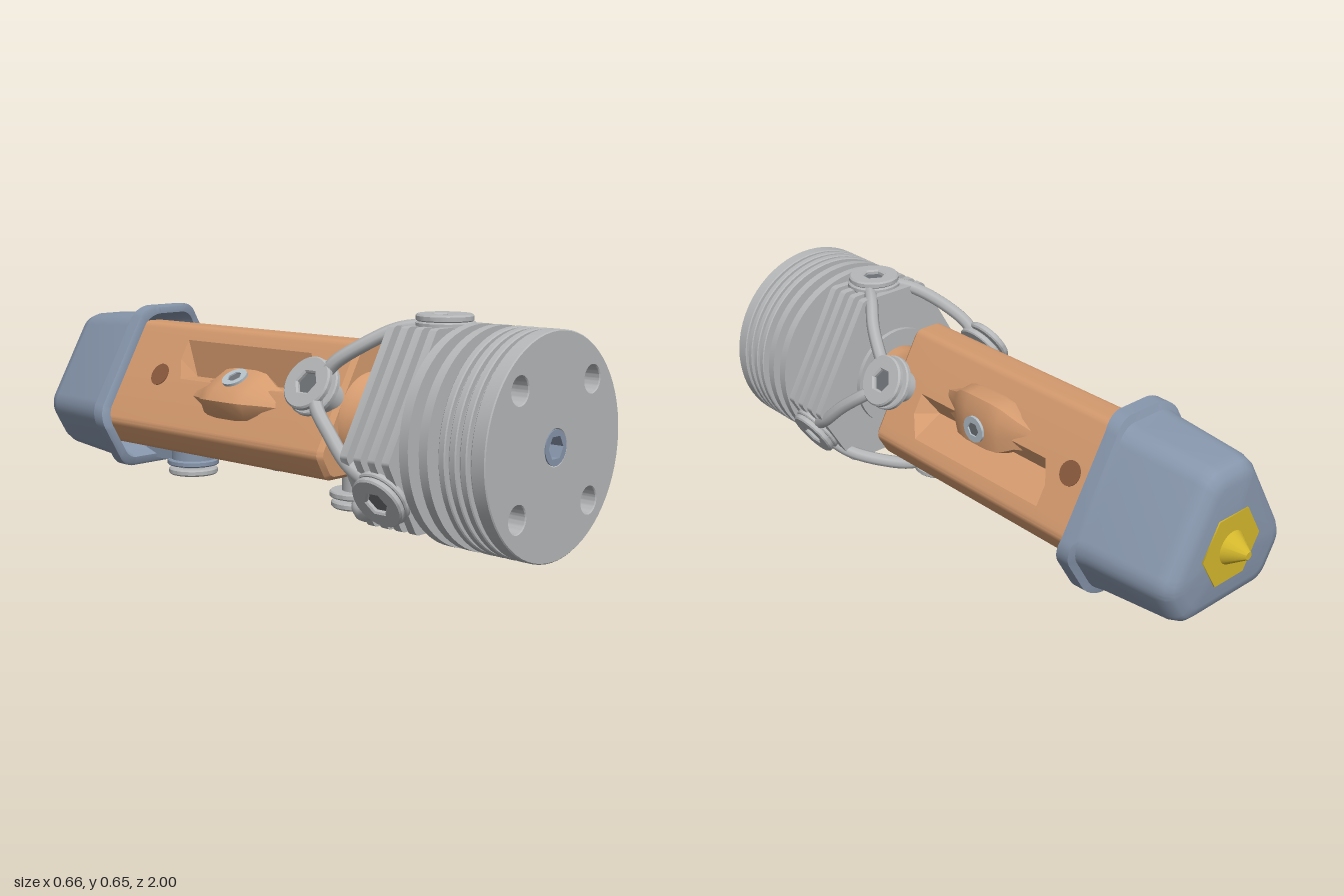
import * as THREE from 'three';
import { toCreasedNormals } from 'three/addons/utils/BufferGeometryUtils.js';

const V2 = THREE.Vector2, V3 = THREE.Vector3, PI = Math.PI, DEG = PI / 180;

export function createModel() {
  const mat = (name, color) => {
    const m = new THREE.MeshStandardMaterial({ color });
    m.name = name;
    return m;
  };
  const silver = mat('silver aluminium', 0xb5b7b9);
  const steel = mat('pale steel', 0xb4c0c8);
  const copper = mat('copper', 0xd49a6e);
  const darkCopper = mat('dark copper bore', 0x8a5a3c);
  const rubber = mat('blue grey silicone', 0x8796ac);
  const brass = mat('brass', 0xd2b62c);
  const dark = mat('dark socket', 0x6c7074);

  const model = new THREE.Group();
  model.name = 'hotend';
  const core = new THREE.Group(); // everything is built around the z axis
  core.name = 'assembly';
  core.position.y = 0.318;
  model.add(core);

  const add = (name, geo, material, parent = core) => {
    const m = new THREE.Mesh(geo, material);
    m.name = name;
    parent.add(m);
    return m;
  };

  // Rounded triangle with cut corners: a = face distance, b = corner distance, r = rounding.
  // Returns one list of points per corner, starting after the corner face at -30 degrees.
  const corners = (a, b, r, n = 5) => {
    const out = [];
    for (let k = 0; k < 6; k++) {
      const t0 = (-30 + 60 * k) * DEG, t1 = t0 + 60 * DEG;
      const d0 = (k % 2 ? a : b) - r, d1 = (k % 2 ? b : a) - r, s = Math.sin(t1 - t0);
      const cx = (d0 * Math.sin(t1) - d1 * Math.sin(t0)) / s;
      const cy = (d1 * Math.cos(t0) - d0 * Math.cos(t1)) / s;
      out.push(Array.from({ length: n }, (_, i) => {
        const t = t0 + (t1 - t0) * i / (n - 1);
        return new V2(cx + r * Math.cos(t), cy + r * Math.sin(t));
      }));
    }
    return out;
  };

  // Skin over rings of equal count, ordered towards +z, with both ends closed
  const loft = (rings, crease = 0.5) => {
    const n = rings[0].length, pos = [], idx = [];
    rings.forEach(ring => ring.forEach(p => pos.push(p.x, p.y, p.z)));
    for (let i = 0; i < rings.length - 1; i++) for (let j = 0; j < n; j++) {
      const a = i * n + j, b = i * n + (j + 1) % n;
      idx.push(a, b, b + n, a, b + n, a + n);
    }
    [rings[0], rings[rings.length - 1]].forEach((ring, e) => {
      const c = ring.reduce((s, p) => s.add(p), new V3()).divideScalar(n), o = pos.length / 3;
      pos.push(c.x, c.y, c.z);
      const base = e ? (rings.length - 1) * n : 0;
      for (let j = 0; j < n; j++) {
        const p = base + j, q = base + (j + 1) % n;
        idx.push(o, e ? p : q, e ? q : p);
      }
    });
    const g = new THREE.BufferGeometry();
    g.setAttribute('position', new THREE.Float32BufferAttribute(pos, 3));
    g.setIndex(idx);
    return toCreasedNormals(g, crease);
  };

  const disc = r => new THREE.Shape().absarc(0, 0, r, 0, 2 * PI);
  const hole = (x, y, r) => new THREE.Path().absarc(x, y, r, 0, 2 * PI, true);
  const hexHole = r => new THREE.Path(Array.from({ length: 6 }, (_, i) => new V2(r * Math.cos(i * PI / 3), -r * Math.sin(i * PI / 3))));
  const plate = (shape, z0, z1, bevel = 0) => {
    const g = new THREE.ExtrudeGeometry(shape, {
      depth: z1 - z0 - 2 * bevel, curveSegments: 32, bevelEnabled: bevel > 0,
      bevelThickness: bevel, bevelSize: bevel, bevelOffset: -bevel, bevelSegments: 1
    });
    g.translate(0, 0, z0 + bevel);
    return toCreasedNormals(g, 0.5);
  };
  const rod = (r, z0, z1, seg = 40) => new THREE.CylinderGeometry(r, r, z1 - z0, seg).rotateX(PI / 2).translate(0, 0, (z0 + z1) / 2);

  // Heat sink: grooved front block, round fins and three-sided fins
  const drilled = r => {
    const s = disc(r);
    s.holes.push(hole(0, 0, 0.05));
    for (const x of [-0.17, 0.17]) for (const y of [-0.17, 0.17]) s.holes.push(hole(x, y, 0.038));
    return s;
  };
  [[0.85, 0.872], [0.885, 0.907], [0.92, 0.942], [0.955, 1]].forEach(([a, b], i) => add('frontFin' + i, plate(drilled(0.317), a, b, 0.003), silver));
  add('frontBlock', plate(drilled(0.3), 0.86, 0.99), silver);
  [[0.72, 0.75], [0.787, 0.815]].forEach(([a, b], i) => add('roundFin' + i, plate(disc(0.317), a, b), silver));
  add('sinkCore', rod(0.17, 0.5, 0.862), silver);
  for (let i = 0; i < 4; i++) {
    const z = 0.515 + i * 0.05;
    add('sideFin' + i, plate(new THREE.Shape(corners(0.26, 0.305, 0.02).flat()), z, z + 0.026), silver);
  }

  // Central inlet with a hexagonal bore
  const inlet = disc(0.05);
  inlet.holes.push(hexHole(0.035));
  add('inletSleeve', plate(inlet, 0.87, 1.001), rubber);
  add('inletBottom', rod(0.045, 0.865, 0.88), brass);

  // Copper heater body with a pocket along each face
  const notch = [[0.205, -0.035, 0.205, -0.035], [0.17, 0.0255, 0.1, 0.02], [0.136, 0.085, 0.136, 0.085]];
  const origin = new V2();
  const bodyRing = (z, depth, a = 0.16, b = 0.24) => {
    const pts = [];
    corners(a, b, 0.03).forEach((arc, k) => {
      pts.push(...arc);
      if (k % 2 === 0) for (const [x0, y0, x1, y1] of notch) {
        const p = new V2(x0 + (x1 - x0) * depth, y0 + (y1 - y0) * depth);
        pts.push(p.multiplyScalar(a / 0.16).rotateAround(origin, k * 60 * DEG));
      }
    });
    return pts.map(p => new V3(p.x, p.y, z));
  };
  add('heaterBody', loft([bodyRing(-0.9, 0), bodyRing(-0.385, 0), bodyRing(-0.35, 1), bodyRing(0.17, 1),
    bodyRing(0.215, 0), bodyRing(0.335, 0), bodyRing(0.35, 0, 0.148, 0.228)], 0.4), copper);
  const neck = [[0.15, 0.345], [0.145, 0.37], [0.12, 0.42], [0.11, 0.47], [0.11, 0.58]].map(p => new V2(...p));
  add('heaterNeck', new THREE.LatheGeometry(neck, 40).rotateX(PI / 2), copper);

  // Raised bosses with set screws, one per face
  const bossPts = [[0.08, 0], [0.165, 0.03], [0.168, 0.085], [0.167, 0.14], [0.15, 0.183], [0.1, 0.19], [0.05, 0.17]];
  const bossSteps = [[-0.27, 0.4], [-0.21, 0.6], [-0.165, 0.93], [-0.12, 1], [-0.03, 1], [0.015, 0.93], [0.06, 0.6], [0.12, 0.4]];
  const bossGeo = loft(bossSteps.map(([z, f]) => bossPts.map(([x, y]) => new V3(0.08 + (x - 0.08) * f, 0.09 + (y - 0.09) * f, z))), 0.7);
  const setShape = disc(0.042);
  setShape.holes.push(hexHole(0.024));
  for (let k = 0; k < 3; k++) {
    const g = new THREE.Group();
    g.name = 'setScrewBoss' + k;
    g.rotation.z = k * 120 * DEG;
    core.add(g);
    add('boss', bossGeo, copper, g);
    add('setScrew', plate(setShape, 0, 0.02).rotateY(PI / 2).translate(0.156, 0.085, -0.075), steel, g);
    add('setScrewSocket', rod(0.03, 0, 0.008).rotateY(PI / 2).translate(0.163, 0.085, -0.075), dark, g);
  }

  // Group whose local +z points outward from the axis
  const radial = (name, deg, z) => {
    const g = new THREE.Group();
    g.name = name;
    g.rotation.set(0, PI / 2, deg * DEG, 'ZYX');
    g.position.z = z;
    core.add(g);
    return g;
  };
  for (const deg of [30, 150]) add('sideBore', rod(0.038, 0.15, 0.163, 28), darkCopper, radial('sideBoreMount', deg, -0.455));

  // Socket head screws with an eyelet under each head
  const headShape = disc(0.083);
  headShape.holes.push(hexHole(0.036));
  const screw = (name, deg, z, post, top, gap, eyeMat) => {
    const g = radial(name, deg, z);
    add('post', rod(0.05, post, top - 0.015), silver, g);
    add('eyelet', plate(disc(0.088), top - 0.04 - gap, top - 0.02 - gap, 0.004), eyeMat, g);
    add('head', plate(headShape, top - 0.022, top, 0.005), silver, g);
    add('headSocket', rod(0.045, top - 0.02, top - 0.014), dark, g);
    return g;
  };
  for (let k = 0; k < 3; k++) {
    screw('sinkScrew' + k, 90 + 120 * k, 0.62, 0.2, 0.337, 0, silver);
    screw('heaterScrew' + k, 30 + 120 * k, 0.3, 0.12, 0.27, 0.012, silver);
  }

  // Six curved braces joining the screws in a zigzag
  const polar = (deg, d, z) => new V3(d * Math.cos(deg * DEG), d * Math.sin(deg * DEG), z);
  for (let k = 0; k < 3; k++) for (const side of [-1, 1]) {
    const a = 90 + 120 * k;
    const path = new THREE.CatmullRomCurve3([
      polar(a + side * 8, 0.308, 0.59), polar(a + side * 17, 0.305, 0.52),
      polar(a + side * 31, 0.285, 0.44), polar(a + side * 45, 0.262, 0.36), polar(a + side * 56, 0.232, 0.32)]);
    add('brace', new THREE.TubeGeometry(path, 20, 0.021, 8), silver);
  }

  // Silicone sock with a wavy flared lip, hollow at its mouth
  const sockRing = (z, a, b, r, wave = 0) => corners(a, b, r, 9).flat().map(p =>
    new V3(p.x, p.y, z - wave * (1 + Math.cos(3 * (Math.atan2(p.y, p.x) - 30 * DEG))) / 2));
  add('sock', loft([
    sockRing(-0.937, 0.145, 0.195, 0.05), sockRing(-0.93, 0.172, 0.225, 0.06), sockRing(-0.912, 0.19, 0.243, 0.07),
    sockRing(-0.88, 0.2, 0.253, 0.075), sockRing(-0.65, 0.22, 0.27, 0.08), sockRing(-0.61, 0.224, 0.276, 0.08, 0.03),
    sockRing(-0.6, 0.238, 0.298, 0.08, 0.04), sockRing(-0.555, 0.238, 0.3, 0.08, 0.045), sockRing(-0.55, 0.23, 0.292, 0.08, 0.045),
    sockRing(-0.55, 0.21, 0.272, 0.07, 0.045), sockRing(-0.63, 0.19, 0.25, 0.06), sockRing(-0.66, 0.155, 0.235, 0.04)], 0.6), rubber);

  // Sock tab held by a screw underneath
  const tab = screw('sockTabScrew', 270, -0.45, 0.12, 0.27, 0.012, rubber);
  add('tabCollar', rod(0.075, 0.165, 0.225), rubber, tab);
  add('tabStrap', new THREE.BoxGeometry(0.14, 0.13, 0.045).translate(0.1, 0, 0.2), rubber, tab);

  // Brass nozzle
  add('nozzleHex', rod(0.12, -0.941, -0.88, 6).rotateZ(PI / 6), brass);
  const tip = [[0, -1], [0.012, -1], [0.052, -0.94], [0.052, -0.92]].map(([r, z]) => new V2(r, z));
  add('nozzleTip', toCreasedNormals(new THREE.LatheGeometry(tip, 28).rotateX(PI / 2), 0.5), brass);

  return model;
}
